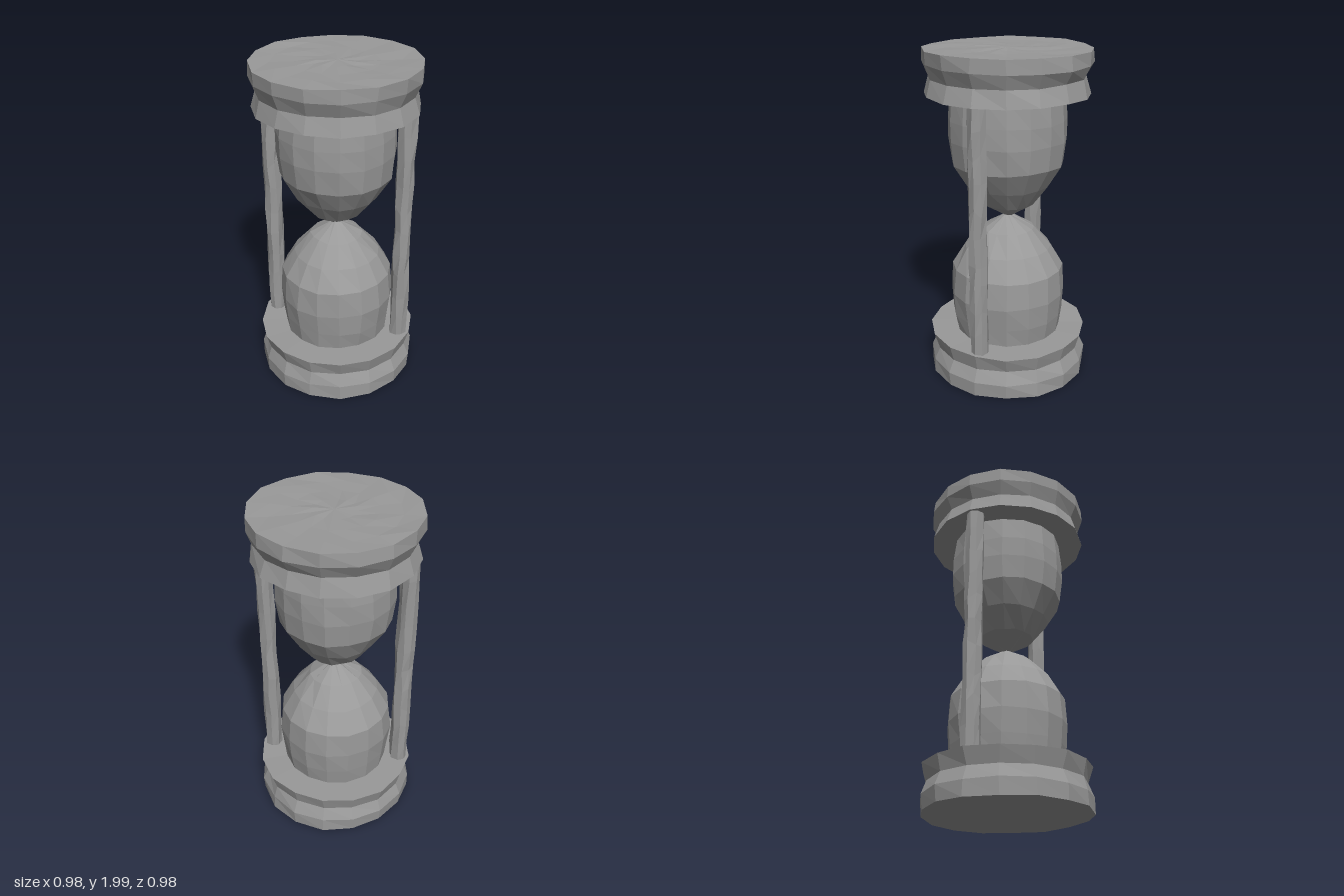
import * as THREE from 'three';

const stone = new THREE.MeshStandardMaterial({ color: 0x999999, flatShading: true });
stone.name = 'grey stone';

// repeatable noise in -1..1 that depends only on position, so seams stay closed
function noise(x, y, z, k) {
  const r = (v) => Math.round(v * 1000);
  const s = Math.sin(r(x) * 1.271 + r(y) * 3.117 + r(z) * 0.747 + k * 7.31) * 43758.5453;
  return (s - Math.floor(s)) * 2 - 1;
}

// shift each vertex slightly for a hand-hewn surface
function roughen(geo, ax, ay, az) {
  const p = geo.attributes.position;
  for (let i = 0; i < p.count; i++) {
    const x = p.getX(i), y = p.getY(i), z = p.getZ(i);
    p.setXYZ(i, x + ax * noise(x, y, z, 1), y + ay * noise(x, y, z, 2), z + az * noise(x, y, z, 3));
  }
  geo.computeVertexNormals();
  return geo;
}

function lathe(profile, sides) {
  return new THREE.LatheGeometry(profile.map(([r, y]) => new THREE.Vector2(r, y)), sides);
}

function part(name, geo) {
  const mesh = new THREE.Mesh(geo, stone);
  mesh.name = name;
  return mesh;
}

export function createModel() {
  const model = new THREE.Group();
  model.name = 'hourglass';

  // base and top discs, each with a waisted rim
  const base = [[0, 0.01], [0.12, 0.01], [0.24, 0.01], [0.36, 0.01], [0.483, 0.01], [0.485, 0.1],
    [0.455, 0.175], [0.484, 0.27], [0, 0.27]];
  const top = [[0, 1.74], [0.477, 1.74], [0.45, 1.84], [0.485, 1.92], [0.485, 1.995],
    [0.36, 1.993], [0.24, 1.993], [0.12, 1.993], [0, 1.993]];
  model.add(part('baseDisc', roughen(lathe(base, 16), 0.005, 0.005, 0.005)));
  model.add(part('topDisc', roughen(lathe(top, 16), 0.005, 0.005, 0.005)));

  // two bulbs meeting at a narrow neck
  const lower = [[0.32, 0.25], [0.338, 0.38], [0.351, 0.52], [0.335, 0.68],
    [0.262, 0.805], [0.158, 0.92], [0.025, 1.0]];
  const upper = [[0.025, 1.0], [0.158, 1.083], [0.25, 1.2], [0.33, 1.335],
    [0.348, 1.48], [0.348, 1.6], [0.333, 1.76]];
  model.add(part('lowerBulb', roughen(lathe(lower, 16), 0.004, 0.004, 0.004)));
  model.add(part('upperBulb', roughen(lathe(upper, 16), 0.004, 0.004, 0.004)));

  // rough pillars on either side
  for (const [name, side] of [['leftPillar', 1], ['rightPillar', -1]]) {
    const geo = new THREE.CylinderGeometry(0.054, 0.054, 1.52, 8, 10, true);
    geo.translate(side * 0.413, 1.005, 0);
    model.add(part(name, roughen(geo, 0.007, 0.03, 0.005)));
  }
  return model;
}
